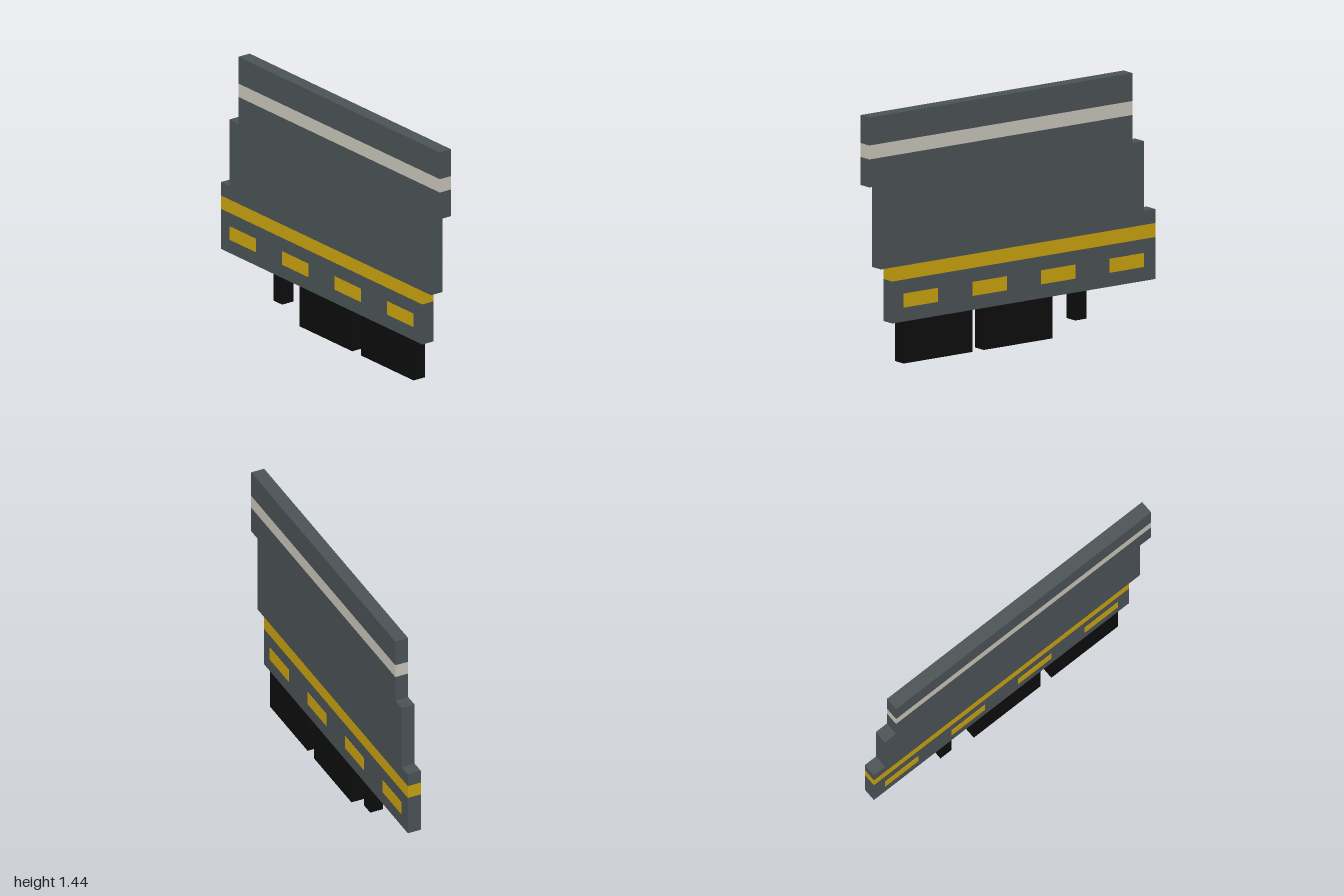
import * as THREE from 'three';

const DEPTH = 0.08;

function material(name, color) {
  const m = new THREE.MeshStandardMaterial({ color });
  m.name = name;
  return m;
}

export function createModel() {
  const model = new THREE.Group();
  model.name = 'slabVehicle';

  const grey = material('slateGrey', 0x4b5356);
  const yellow = material('yellow', 0xc9a30f);
  const cream = material('cream', 0xc9c5ba);
  const black = material('black', 0x0d0d0d);

  // Box given by its edges in x and y, centred on depth z
  function slab(name, mat, x0, x1, y0, y1, depth = DEPTH, z = 0) {
    const mesh = new THREE.Mesh(new THREE.BoxGeometry(x1 - x0, y1 - y0, depth), mat);
    mesh.position.set((x0 + x1) / 2, (y0 + y1) / 2, z);
    mesh.name = name;
    model.add(mesh);
  }

  // Body, stepped sideways layer by layer
  slab('lowerBody', grey, -1, 0.84, 0.24, 0.48);
  slab('lowerStripe', yellow, -1, 0.84, 0.48, 0.56);
  slab('bodyStep', grey, -1, 0.92, 0.56, 0.64);
  slab('middleBody', grey, -0.92, 0.92, 0.64, 1.04);
  slab('upperBody', grey, -0.84, 1, 1.04, 1.2);
  slab('upperStripe', cream, -0.84, 1, 1.2, 1.28);
  slab('roof', grey, -0.84, 1, 1.28, 1.44);

  // Dashes painted on both faces
  for (const side of [1, -1]) {
    for (let i = 0; i < 4; i++) {
      const x = -0.92 + i * 0.48;
      slab('dashMark', yellow, x, x + 0.24, 0.32, 0.4, 0.004, side * DEPTH / 2);
    }
  }

  // Blocks beneath the body
  slab('rearWheelBlock', black, -0.28, 0.2, 0, 0.24);
  slab('frontWheelBlock', black, 0.28, 0.76, 0, 0.24);
  slab('supportPeg', black, -0.52, -0.44, 0.08, 0.24);

  return model;
}
